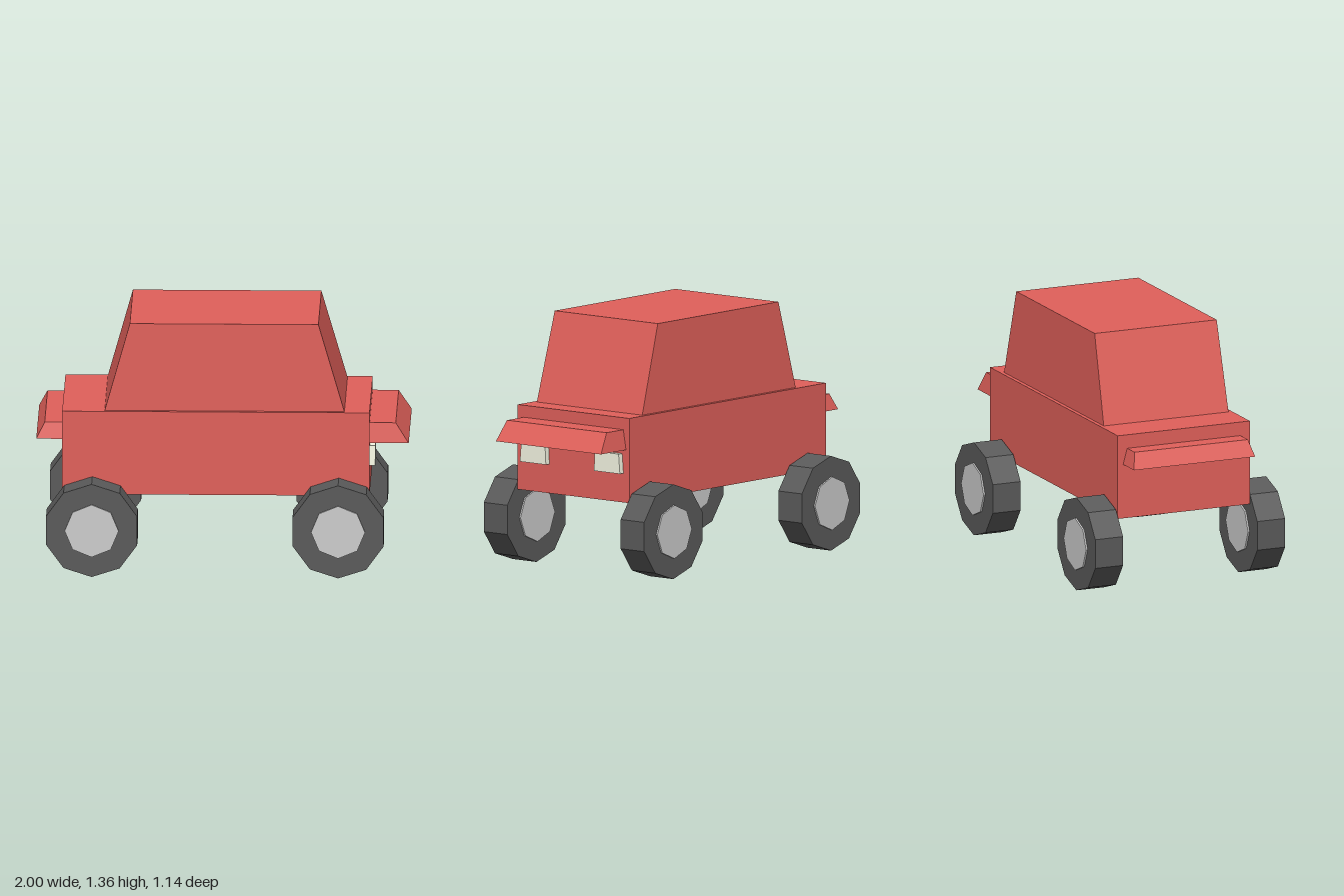
import * as THREE from 'three';

const paint = (color) => new THREE.MeshStandardMaterial({ color, flatShading: true });

// Box whose top and bottom rectangles differ; each is [x0, x1, z0, z1]
function taperedBox(name, material, y0, y1, bottom, top) {
  const geo = new THREE.BoxGeometry(1, 1, 1);
  const p = geo.attributes.position;
  for (let i = 0; i < p.count; i++) {
    const upper = p.getY(i) > 0;
    const r = upper ? top : bottom;
    p.setXYZ(i, p.getX(i) < 0 ? r[0] : r[1], upper ? y1 : y0, p.getZ(i) < 0 ? r[2] : r[3]);
  }
  geo.computeVertexNormals();
  const mesh = new THREE.Mesh(geo, material);
  mesh.name = name;
  return mesh;
}

// Low-poly disc with its axis along z
function disc(name, material, radius, width, sides) {
  const geo = new THREE.CylinderGeometry(radius, radius, width, sides).rotateX(Math.PI / 2);
  const mesh = new THREE.Mesh(geo, material);
  mesh.name = name;
  return mesh;
}

export function createModel() {
  const car = new THREE.Group();
  car.name = 'car';
  const red = paint(0xe0605a);
  const rubber = paint(0x5a5a5a);
  const metal = paint(0xcccccc);
  const glass = paint(0xf4f5e2);

  // Body and cabin
  const bodyRect = [-0.86, 0.79, -0.39, 0.39];
  car.add(taperedBox('body', red, 0.415, 0.875, bodyRect, bodyRect));
  car.add(taperedBox('cabin', red, 0.875, 1.355,
    [-0.632, 0.655, -0.368, 0.368], [-0.497, 0.515, -0.36, 0.36]));

  // Sloped ledges at the nose and tail
  car.add(taperedBox('noseLedge', red, 0.702, 0.81,
    [0.72, 1.0, -0.367, 0.367], [0.72, 0.93, -0.348, 0.348]));
  car.add(taperedBox('tailLedge', red, 0.713, 0.80,
    [-1.0, -0.8, -0.358, 0.358], [-0.955, -0.8, -0.334, 0.334]));

  for (const side of [1, -1]) {
    // Headlights, narrower at the top
    const span = (a, b) => (side > 0 ? [a, b] : [-b, -a]);
    car.add(taperedBox('headlight', glass, 0.573, 0.68,
      [0.75, 0.82, ...span(0.168, 0.349)], [0.75, 0.82, ...span(0.174, 0.34)]));

    // Wheels with hubs showing on both faces
    for (const x of [-0.698, 0.625]) {
      const wheel = new THREE.Group();
      wheel.name = 'wheel';
      wheel.add(disc('tire', rubber, 0.257, 0.164, 10));
      wheel.add(disc('hub', metal, 0.145, 0.182, 8));
      wheel.position.set(x, 0.257, side * 0.478);
      car.add(wheel);
    }
  }
  return car;
}
